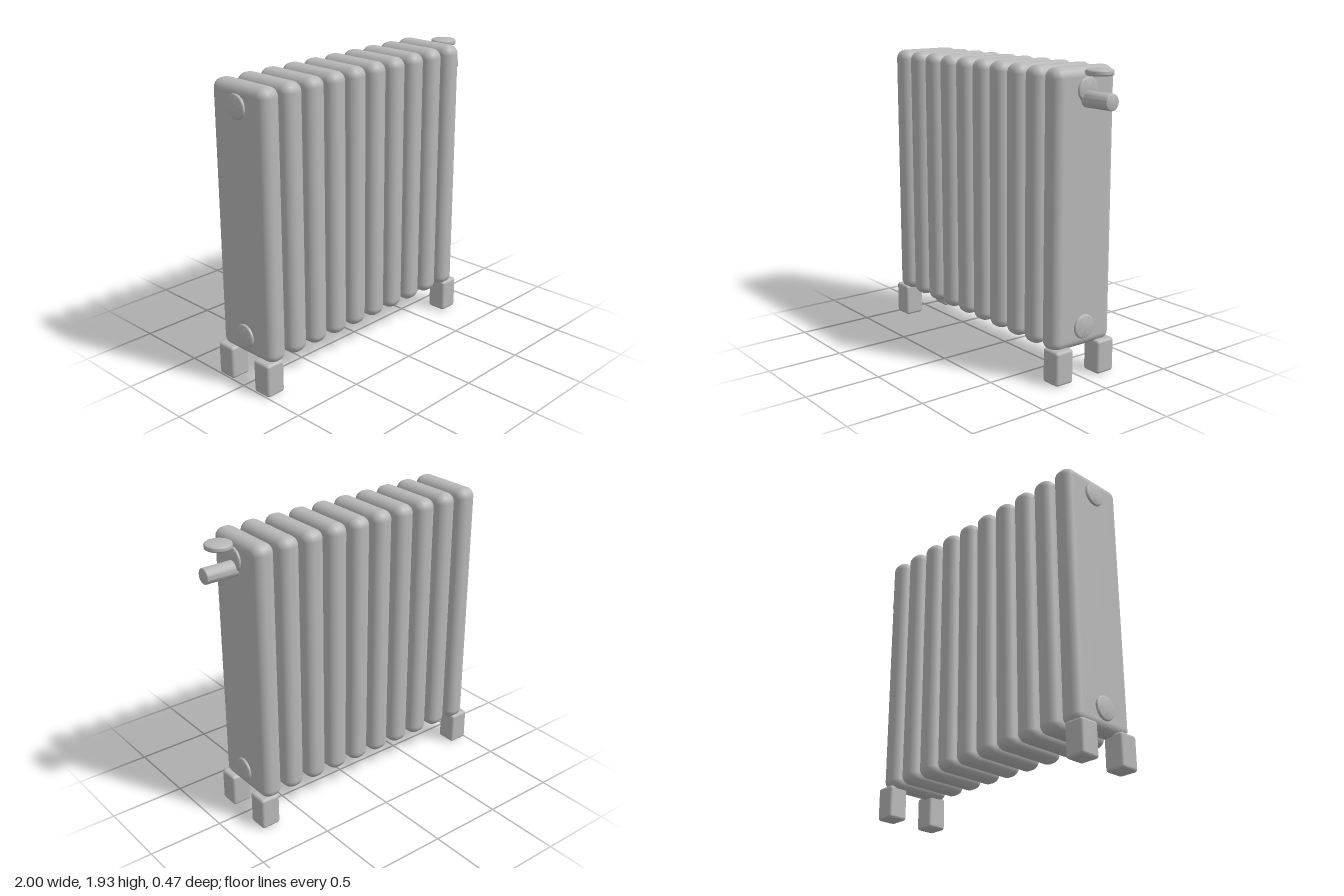
import * as THREE from 'three';
import { toCreasedNormals } from 'three/addons/utils/BufferGeometryUtils.js';
import { RoundedBoxGeometry } from 'three/addons/geometries/RoundedBoxGeometry.js';

// Solid disc or rod along y with softly rounded rims
function roundedCylinder(radius, length, rim) {
  const h = length / 2;
  const points = [new THREE.Vector2(0, -h)];
  const steps = 4;
  for (const side of [-1, 1]) {
    for (let i = 0; i <= steps; i++) {
      const a = (side < 0 ? i - steps : i) / steps * Math.PI / 2;
      points.push(new THREE.Vector2(
        radius - rim + rim * Math.cos(a),
        side * (h - rim) + rim * Math.sin(a)));
    }
  }
  points.push(new THREE.Vector2(0, h));
  return toCreasedNormals(new THREE.LatheGeometry(points, 40), 0.6);
}

export function createModel() {
  const group = new THREE.Group();
  const metal = new THREE.MeshStandardMaterial({ color: 0xb8b8b8 });
  metal.name = 'grey metal';

  const add = (name, geometry, x, y, z = 0) => {
    const mesh = new THREE.Mesh(geometry, metal);
    mesh.name = name;
    mesh.position.set(x, y, z);
    group.add(mesh);
    return mesh;
  };

  // Ten columns, each with an upper and lower connecting hub
  const column = new RoundedBoxGeometry(0.144, 1.73, 0.472, 6, 0.062);
  const hub = roundedCylinder(0.077, 0.174, 0.012).rotateZ(Math.PI / 2);
  for (let i = 0; i < 10; i++) {
    const x = -0.896 + i * 0.179;
    add('column', column, x, 1.065);
    add('upperHub', hub, x, 1.795);
    add('lowerHub', hub, x, 0.338);
  }

  // Four feet under the end columns
  const foot = new RoundedBoxGeometry(0.136, 0.222, 0.136, 4, 0.02);
  for (const x of [-0.932, 0.748]) {
    for (const z of [-0.168, 0.168]) add('foot', foot, x, 0.111, z);
  }

  // Valve stem and its round handle
  add('valveStem', roundedCylinder(0.05, 0.22, 0.006).rotateZ(Math.PI / 2), 0.89, 1.74);
  add('valveHandle', roundedCylinder(0.084, 0.036, 0.012), 0.887, 1.904);

  return group;
}
